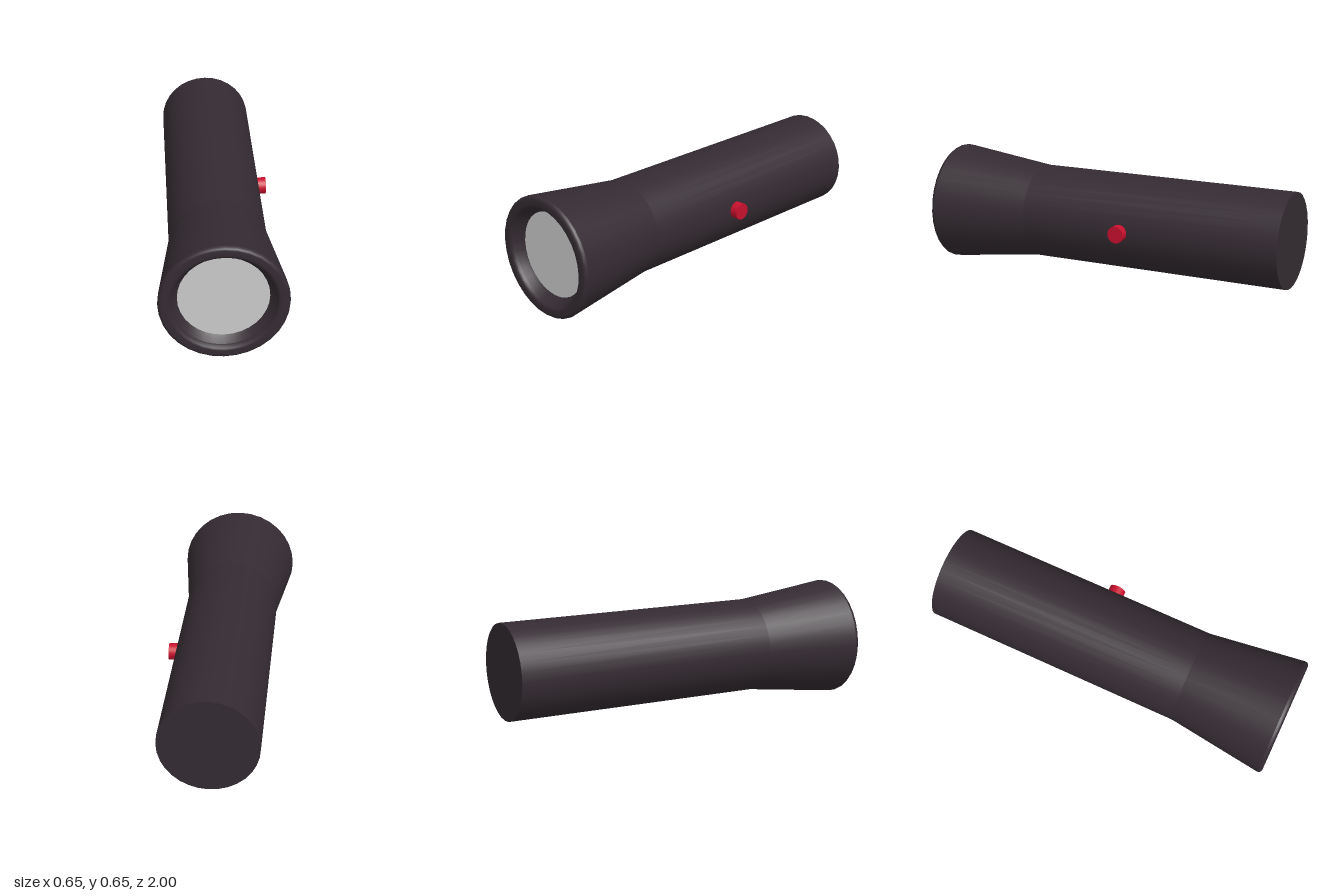
import * as THREE from 'three';

const SIDES = 32;
const AXIS_Y = 0.323;

export function createModel() {
  const group = new THREE.Group();
  const dark = new THREE.MeshStandardMaterial({ color: 0x342b32 });
  const red = new THREE.MeshStandardMaterial({ color: 0xc8102e });
  const grey = new THREE.MeshStandardMaterial({ color: 0xcccccc });

  // Revolves [radius, z] points around the long axis; separate pieces keep creases sharp
  const turn = (name, points, material) => {
    const profile = points.map(([r, z]) => new THREE.Vector2(r, z));
    const geometry = new THREE.LatheGeometry(profile, SIDES).rotateX(Math.PI / 2);
    const mesh = new THREE.Mesh(geometry, material);
    mesh.name = name;
    mesh.position.y = AXIS_Y;
    group.add(mesh);
  };

  // Flat tail and straight handle
  turn('tailCap', [[0, -1], [0.255, -1]], dark);
  turn('handle', [[0.255, -1], [0.255, 0.45]], dark);

  // Flared head
  turn('head', [[0.255, 0.45], [0.323, 0.978]], dark);

  // Rounded rim, running inward to the recessed lens
  turn('rim', [
    [0.323, 0.978], [0.321, 0.988], [0.315, 0.996], [0.306, 1],
    [0.278, 1], [0.268, 0.997], [0.26, 0.988], [0.256, 0.975],
  ], dark);
  turn('innerWall', [[0.256, 0.975], [0.24, 0.95], [0.227, 0.935]], dark);
  turn('lens', [[0.227, 0.935], [0, 0.935]], grey);

  // Side switch
  const button = new THREE.Mesh(new THREE.CylinderGeometry(0.045, 0.045, 0.066, SIDES), red);
  button.name = 'switchButton';
  button.rotation.z = -Math.PI / 2;
  button.position.set(0.263, AXIS_Y, -0.128);
  group.add(button);

  return group;
}
